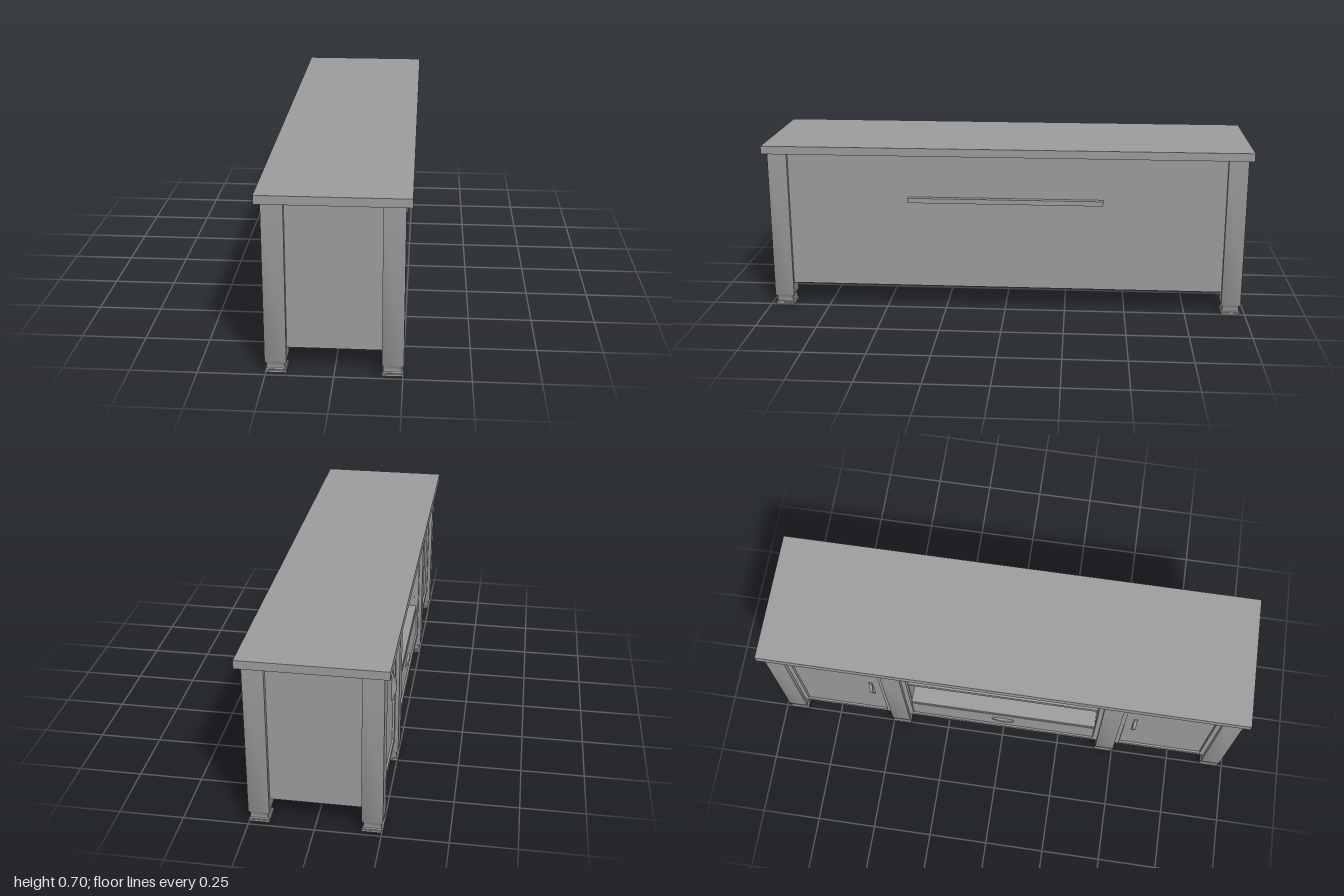
import * as THREE from 'three';
import { toCreasedNormals } from 'three/addons/utils/BufferGeometryUtils.js';

export function createModel() {
  const root = new THREE.Group();
  const mat = new THREE.MeshStandardMaterial({ color: 0x9c9c9c });

  function add(name, geometry) {
    const mesh = new THREE.Mesh(geometry, mat);
    mesh.name = name;
    root.add(mesh);
    return mesh;
  }

  // Box given by its lower and upper limits on each axis
  function box(name, x0, x1, y0, y1, z0, z1) {
    const mesh = add(name, new THREE.BoxGeometry(x1 - x0, y1 - y0, z1 - z0));
    mesh.position.set((x0 + x1) / 2, (y0 + y1) / 2, (z0 + z1) / 2);
  }

  const bottom = 0.094;
  const top = 0.663;

  // Table top
  box('tableTop', -0.275, 0.275, top, 0.696, -1, 1);

  // Square posts with turned-in feet: [half width, height]
  const profile = [
    [0, 0], [0.04, 0], [0.04, 0.008], [0.038, 0.009], [0.038, 0.012],
    [0.034, 0.015], [0.033, 0.034], [0.035, 0.037], [0.04, 0.045], [0.04, top],
  ].map(([w, y]) => new THREE.Vector2(w * Math.SQRT2, y));
  const postGeometry = toCreasedNormals(
    new THREE.LatheGeometry(profile, 4).rotateY(Math.PI / 4), 0.7);
  for (const s of [-1, 1]) {
    add('cornerPost', postGeometry).position.set(-0.214, 0, s * 0.941);
    add('cornerPost', postGeometry).position.set(0.213, 0, s * 0.941);
    add('middlePost', postGeometry).position.set(-0.214, 0, s * 0.463);
  }

  // Carcass panels
  box('backPanel', 0.217, 0.237, bottom, top, -0.93, 0.93);
  box('bottomPanel', -0.235, 0.236, bottom, bottom + 0.018, -0.959, 0.959);
  for (const s of [-1, 1]) {
    box('endPanel', -0.2, 0.2, bottom, top, s * 0.952 - 0.008, s * 0.952 + 0.008);
    box('divider', -0.22, 0.22, bottom, top, s * 0.412 - 0.01, s * 0.412 + 0.01);
  }

  // Open shelf running through the back, and the floor above the drawer
  box('shelf', -0.225, 0.26, 0.462, 0.482, -0.402, 0.402);
  box('compartmentFloor', -0.23, 0.22, 0.24, 0.258, -0.403, 0.403);

  // Thin frame around each bay between the posts
  const rail = 0.02;
  function frame(z0, z1) {
    box('frameBottomRail', -0.239, -0.215, bottom, bottom + rail, z0, z1);
    box('frameTopRail', -0.239, -0.215, top - rail, top, z0, z1);
    box('frameStile', -0.239, -0.215, bottom, top, z0, z0 + rail);
    box('frameStile', -0.239, -0.215, bottom, top, z1 - rail, z1);
  }
  frame(-0.902, -0.502);
  frame(-0.424, 0.424);
  frame(0.502, 0.902);

  // Doors and drawer, set slightly back in their frames
  box('door', -0.231, -0.212, 0.116, 0.641, -0.88, -0.524);
  box('door', -0.231, -0.212, 0.116, 0.641, 0.524, 0.88);
  box('drawerFront', -0.232, -0.212, 0.116, 0.241, -0.402, 0.402);

  // Gently bowed pull handle: x is its length, y points away from the door
  function handleGeometry(length, width, bow) {
    const h = length / 2;
    const shape = new THREE.Shape();
    shape.moveTo(-h, 0);
    shape.lineTo(-h, 0.006);
    shape.bezierCurveTo(-h * 0.5, 0.006, -h * 0.6, bow, 0, bow);
    shape.bezierCurveTo(h * 0.6, bow, h * 0.5, 0.006, h, 0.006);
    shape.lineTo(h, 0);
    const geometry = new THREE.ExtrudeGeometry(shape,
      { depth: width, bevelEnabled: false, curveSegments: 8 });
    return toCreasedNormals(geometry.translate(0, 0, -width / 2), 0.6);
  }
  for (const z of [-0.563, 0.563]) {
    const handle = add('doorHandle', handleGeometry(0.13, 0.014, 0.02));
    handle.rotation.z = Math.PI / 2;
    handle.position.set(-0.231, 0.385, z);
  }
  const drawerHandle = add('drawerHandle', handleGeometry(0.095, 0.018, 0.011));
  drawerHandle.rotation.set(Math.PI / 2, 0, Math.PI / 2);
  drawerHandle.position.set(-0.232, 0.19, 0);

  return root;
}
